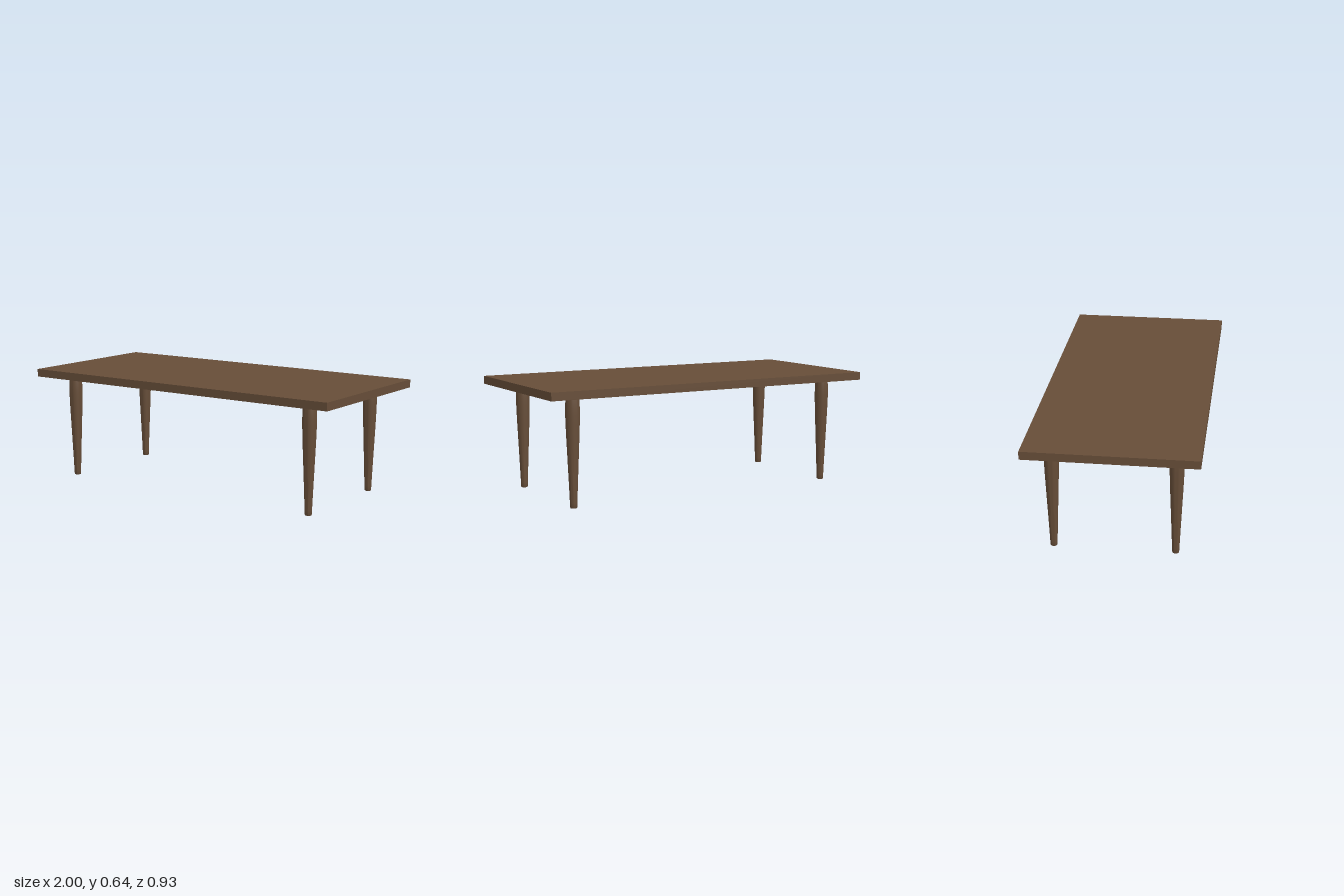
import * as THREE from 'three';
import { toCreasedNormals } from 'three/addons/utils/BufferGeometryUtils.js';

export function createModel() {
  const table = new THREE.Group();
  table.name = 'table';
  const wood = new THREE.MeshStandardMaterial({ color: 0x664d38 });

  // Flat rectangular slab
  const top = new THREE.Mesh(new THREE.BoxGeometry(2, 0.045, 0.928), wood);
  top.name = 'tableTop';
  top.position.y = 0.6225;
  table.add(top);

  // Turned leg: narrow foot, widest near the top, slightly pinched at the slab
  const side = new THREE.SplineCurve([
    [0.019, 0.004], [0.0245, 0.14], [0.031, 0.29], [0.0365, 0.42],
    [0.039, 0.51], [0.038, 0.56], [0.035, 0.6],
  ].map(([r, y]) => new THREE.Vector2(r, y))).getPoints(24);
  const profile = [
    new THREE.Vector2(0, 0), new THREE.Vector2(0.0175, 0),
    ...side, new THREE.Vector2(0, 0.6),
  ];
  const legGeometry = toCreasedNormals(new THREE.LatheGeometry(profile, 32), 0.6);

  // One leg near each corner
  for (const [z, end] of [[0.33, 'front'], [-0.33, 'back']]) {
    for (const [x, hand] of [[0.818, 'Left'], [-0.818, 'Right']]) {
      const leg = new THREE.Mesh(legGeometry, wood);
      leg.name = `${end}${hand}Leg`;
      leg.position.set(x, 0, z);
      table.add(leg);
    }
  }
  return table;
}
